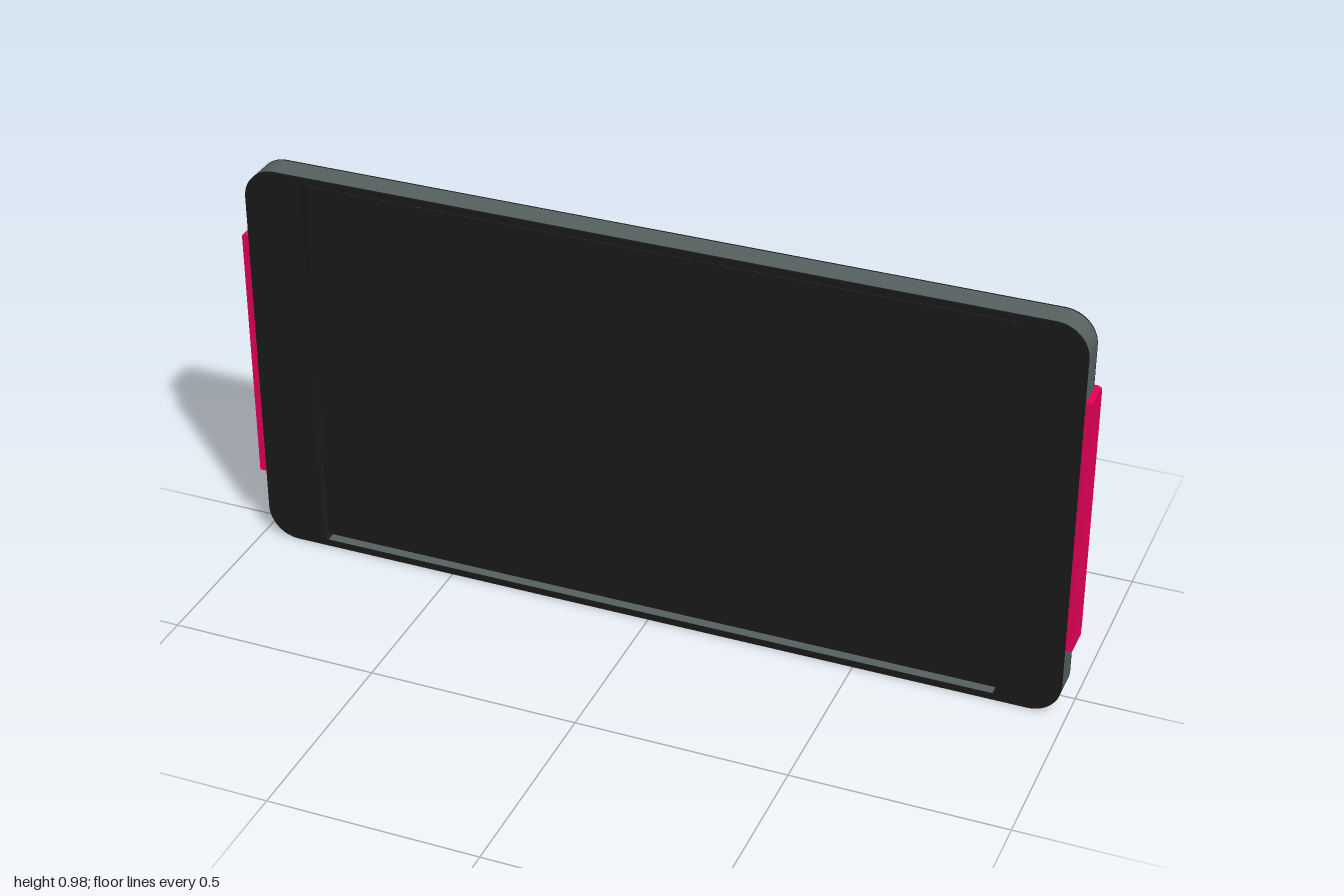
import * as THREE from 'three';
import { toCreasedNormals } from 'three/addons/utils/BufferGeometryUtils.js';
import { RoundedBoxGeometry } from 'three/addons/geometries/RoundedBoxGeometry.js';

const dark = new THREE.MeshStandardMaterial({ color: 0x1a1a1a });
dark.name = 'black glass';
const grey = new THREE.MeshStandardMaterial({ color: 0x566160 });
grey.name = 'grey metal';
const pink = new THREE.MeshStandardMaterial({ color: 0xec005b });
pink.name = 'magenta band';

const MID_Y = 0.492;

// Rounded rectangle centred on (cx, 0)
function roundRect(w, h, r, cx = 0, Type = THREE.Shape) {
  const s = new Type();
  const x = w / 2 - r, y = h / 2 - r;
  s.absarc(cx + x, y, r, 0, Math.PI / 2);
  s.absarc(cx - x, y, r, Math.PI / 2, Math.PI);
  s.absarc(cx - x, -y, r, Math.PI, Math.PI * 1.5);
  s.absarc(cx + x, -y, r, Math.PI * 1.5, Math.PI * 2);
  s.closePath();
  return s;
}

// Rounded rectangle with a rounded opening
function frame(outer, inner) {
  const s = roundRect(...outer);
  s.holes.push(roundRect(...inner, 0, THREE.Path));
  return s;
}

// Extrude a shape from z0 to z1
function slab(shape, z0, z1, curveSegments = 12) {
  const g = new THREE.ExtrudeGeometry(shape, { depth: z1 - z0, bevelEnabled: false, curveSegments });
  g.translate(0, 0, z0);
  return toCreasedNormals(g, 0.6);
}

// Lathe turned so that its axis points out of the back (-z)
function backLathe(points, crease) {
  const g = new THREE.LatheGeometry(points.map(([r, d]) => new THREE.Vector2(r, d)), 64);
  g.rotateX(-Math.PI / 2);
  return toCreasedNormals(g, crease);
}

export function createModel() {
  const model = new THREE.Group();
  model.name = 'phone';
  const addGroup = (name) => {
    const g = new THREE.Group();
    g.name = name;
    g.position.y = MID_Y;
    model.add(g);
    return g;
  };
  const add = (parent, name, geometry, material) => {
    const m = new THREE.Mesh(geometry, material);
    m.name = name;
    parent.add(m);
    return m;
  };

  // Phone body: grey edge between black front and back plates
  const phone = addGroup('phoneBody');
  const outline = [1.968, 0.984, 0.075];
  const rim = [1.684, 0.954, 0.014];
  const opening = [1.68, 0.95, 0.012];
  const screenZ = 0.0485;
  add(phone, 'backPlate', slab(roundRect(...outline), 0.003, 0.007), dark);
  add(phone, 'body', slab(roundRect(...outline), 0.007, 0.045), grey);
  add(phone, 'bezel', slab(frame(outline, rim), 0.045, 0.068), grey);
  add(phone, 'frontGlass', slab(frame(outline, rim), 0.068, 0.0725), dark);

  // Sunken screen with dark walls and grey sills along its long sides
  add(phone, 'screenRim', slab(frame(rim, opening), 0.045, 0.0725), dark);
  add(phone, 'screen', slab(roundRect(...opening), 0.045, screenZ), dark);
  for (const side of [-1, 1]) {
    const sill = add(phone, 'screenSill', new THREE.BoxGeometry(1.656, 0.001, 0.0235), grey);
    sill.position.set(0, side * 0.4748, screenZ + 0.01175);
  }

  // Band wrapping across the back and both ends
  const band = addGroup('band');
  const bandBack = new RoundedBoxGeometry(2, 0.632, 0.03, 4, 0.012);
  bandBack.translate(0, 0, 0.001);
  add(band, 'bandBack', bandBack, pink);
  for (const [name, side] of [['bandLeftEnd', 1], ['bandRightEnd', -1]]) {
    const end = add(band, name, new THREE.BoxGeometry(0.015, 0.632, 0.073), pink);
    end.position.set(side * 0.9925, 0, 0.0365);
  }

  // Round camera module on the back
  const camera = addGroup('cameraModule');
  add(camera, 'cameraHousing', backLathe([[0.21, 0.01], [0.21, 0.052], [0.112, 0.052]], 0.6), grey);

  // Black cap with a lens opening and a grey insert in each side slot
  const cap = new THREE.Shape().absarc(0, 0, 0.21, 0, Math.PI * 2);
  cap.holes.push(new THREE.Path().absarc(0, 0, 0.114, 0, Math.PI * 2));
  for (const side of [-1, 1]) {
    const slot = [0.042, 0.13, 0.02, side * 0.158];
    cap.holes.push(roundRect(...slot, THREE.Path));
    add(camera, 'slotInsert', slab(roundRect(...slot), -0.061, -0.052), grey);
  }
  add(camera, 'cameraCap', slab(cap, -0.066, -0.052, 32), dark);

  // Stepped, sunken lens ring and domed lens
  add(camera, 'lensRing', backLathe([
    [0.115, 0.052], [0.115, 0.0665], [0.107, 0.0665], [0.104, 0.058],
    [0.097, 0.058], [0.09, 0.042], [0.08, 0.042],
  ], 0.4), pink);
  const dome = [];
  for (let i = 0; i <= 12; i++) {
    const t = 1 - i / 12;
    dome.push([0.088 * t, 0.0725 - 0.0305 * t ** 3]);
  }
  add(camera, 'lens', backLathe(dome, 0.8), dark);

  return model;
}
